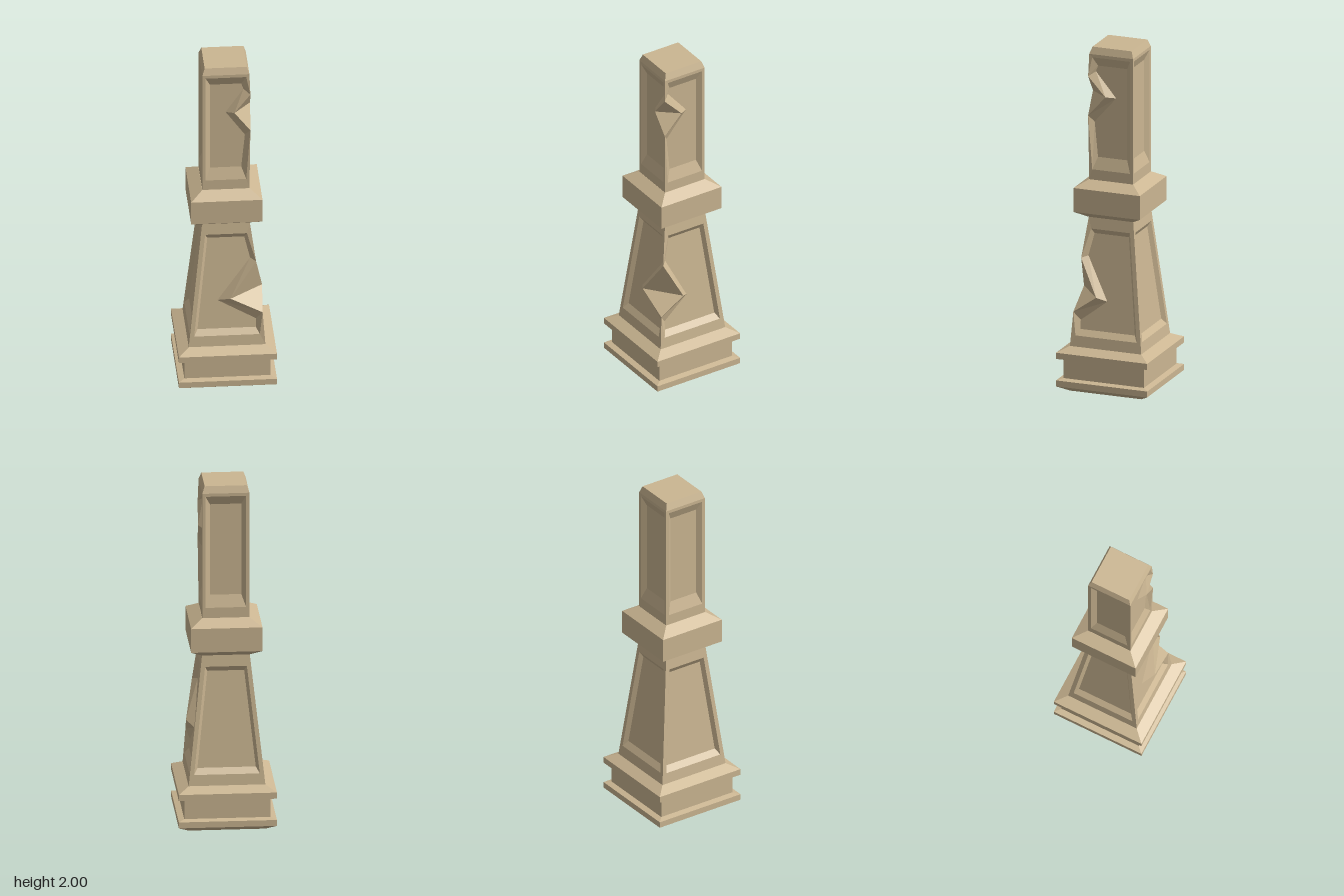
import * as THREE from 'three';

const material = new THREE.MeshStandardMaterial({ color: 0xcbb692, flatShading: true });

function meshFrom(geometry, name) {
  const mesh = new THREE.Mesh(geometry, material);
  mesh.name = name;
  return mesh;
}

// Square moulding: profile points are [half width, height]
function squareLoft(profile, name) {
  const points = profile.map(([h, y]) => new THREE.Vector2(h * Math.SQRT2, y));
  const geometry = new THREE.LatheGeometry(points, 4, Math.PI / 4).toNonIndexed();
  geometry.computeVertexNormals();
  return meshFrom(geometry, name);
}

function trianglesMesh(triangles, name) {
  const geometry = new THREE.BufferGeometry().setFromPoints(triangles.flat());
  geometry.computeVertexNormals();
  return meshFrom(geometry, name);
}

// One shaft wall with a recessed panel; its right edge may be broken by a chip
function panelFace(shaft, place, flip, chipSide, name) {
  const { y0, y1, half, rim, inner, depth, chip } = shaft;
  const loop = ([bottom, top, inset], off, broken) => {
    const at = (u, y, o = off) => ({ u, y, w: half(y) + o });
    const ub = half(bottom) - inset, ut = half(top) - inset;
    return [at(-ut, top), at(-ub, bottom), at(ub, bottom), ...broken.map((b) => at(...b)), at(ut, top)];
  };
  let edges = [[], [], []];
  if (chipSide) {
    const { low, mid, high, bulge, lip, cut } = chip;
    const edge = [
      [half(low) + bulge, low, bulge],
      [chipSide.notch, mid, lip],
      [half(high) + bulge, high, bulge],
    ];
    edges = [edge, edge, [[cut[0], cut[1]], [chipSide.tip, cut[2]], [cut[3], cut[4]]]];
  }
  const loops = [
    loop([y0, y1, 0], 0, edges[0]),
    loop(rim, 0, edges[1]),
    loop(inner, -depth, edges[2]),
  ];
  const triangles = [];
  const add = (a, b, c) => {
    const t = [a, b, c].map((p) => place(p.u, p.y, p.w));
    const area = t[1].clone().sub(t[0]).cross(t[2].clone().sub(t[0])).length();
    if (area > 1e-7) triangles.push(flip ? t.reverse() : t);
  };
  // Frame, then bevel
  for (let k = 0; k < 2; k++) {
    const a = loops[k], b = loops[k + 1], n = a.length;
    for (let i = 0; i < n; i++) {
      const j = (i + 1) % n;
      add(a[i], a[j], b[j]);
      add(a[i], b[j], b[i]);
    }
  }
  // Sunken panel
  const flat = loops[2].map((p) => new THREE.Vector2(p.u, p.y));
  for (const [a, b, c] of THREE.ShapeUtils.triangulateShape(flat, [])) {
    add(loops[2][a], loops[2][b], loops[2][c]);
  }
  return trianglesMesh(triangles, name);
}

function panelledShaft(shaft, name) {
  const group = new THREE.Group();
  group.name = name;
  const V = (x, y, z) => new THREE.Vector3(x, y, z);
  const { half, chip } = shaft;
  group.add(
    panelFace(shaft, (u, y, w) => V(u, y, w), false, chip.front, 'frontPanel'),
    panelFace(shaft, (u, y, w) => V(w, y, u), true, chip.side, 'leftPanel'),
    panelFace(shaft, (u, y, w) => V(-u, y, -w), false, null, 'backPanel'),
    panelFace(shaft, (u, y, w) => V(-w, y, u), false, null, 'rightPanel'),
  );
  // Notch broken out of the front left corner
  const t = half(chip.high) + chip.bulge, b = half(chip.low) + chip.bulge, m = half(chip.mid) + chip.lip;
  const T = V(t, chip.high, t), B = V(b, chip.low, b);
  const L = V(chip.front.notch, chip.mid, m), R = V(m, chip.mid, chip.side.notch);
  group.add(trianglesMesh([[T, L, R], [L, B, R]], 'cornerChip'));
  return group;
}

export function createModel() {
  const model = new THREE.Group();
  model.name = 'pillar';

  model.add(squareLoft([
    [0, 0], [0.215, 0], [0.275, 0.035], [0.275, 0.07], [0.242, 0.078], [0.242, 0.188],
    [0.275, 0.196], [0.275, 0.232], [0.215, 0.262], [0, 0.262],
  ], 'base'));

  model.add(panelledShaft({
    y0: 0.262, y1: 1.005,
    half: (y) => 0.215 - (y - 0.262) * 0.109,
    rim: [0.325, 0.94, 0.024], inner: [0.358, 0.91, 0.041], depth: 0.022,
    chip: {
      low: 0.46, mid: 0.56, high: 0.77, bulge: 0.007, lip: 0.026,
      cut: [0.165, 0.41, 0.53, 0.135, 0.78],
      front: { notch: 0.02, tip: -0.05 }, side: { notch: 0.06, tip: 0.01 },
    },
  }, 'lowerShaft'));

  model.add(squareLoft([
    [0, 1.005], [0.134, 1.005], [0.2, 1.045], [0.2, 1.185], [0.133, 1.225], [0, 1.225],
  ], 'collar'));

  model.add(panelledShaft({
    y0: 1.225, y1: 1.96,
    half: () => 0.132,
    rim: [1.285, 1.942, 0.018], inner: [1.355, 1.89, 0.044], depth: 0.022,
    chip: {
      low: 1.6, mid: 1.72, high: 1.83, bulge: 0.005, lip: 0.012,
      cut: [0.108, 1.56, 1.71, 0.1, 1.855],
      front: { notch: 0.047, tip: 0 }, side: { notch: 0.03, tip: -0.022 },
    },
  }, 'upperShaft'));

  model.add(squareLoft([[0.132, 1.96], [0.118, 2], [0, 2]], 'cap'));
  return model;
}
